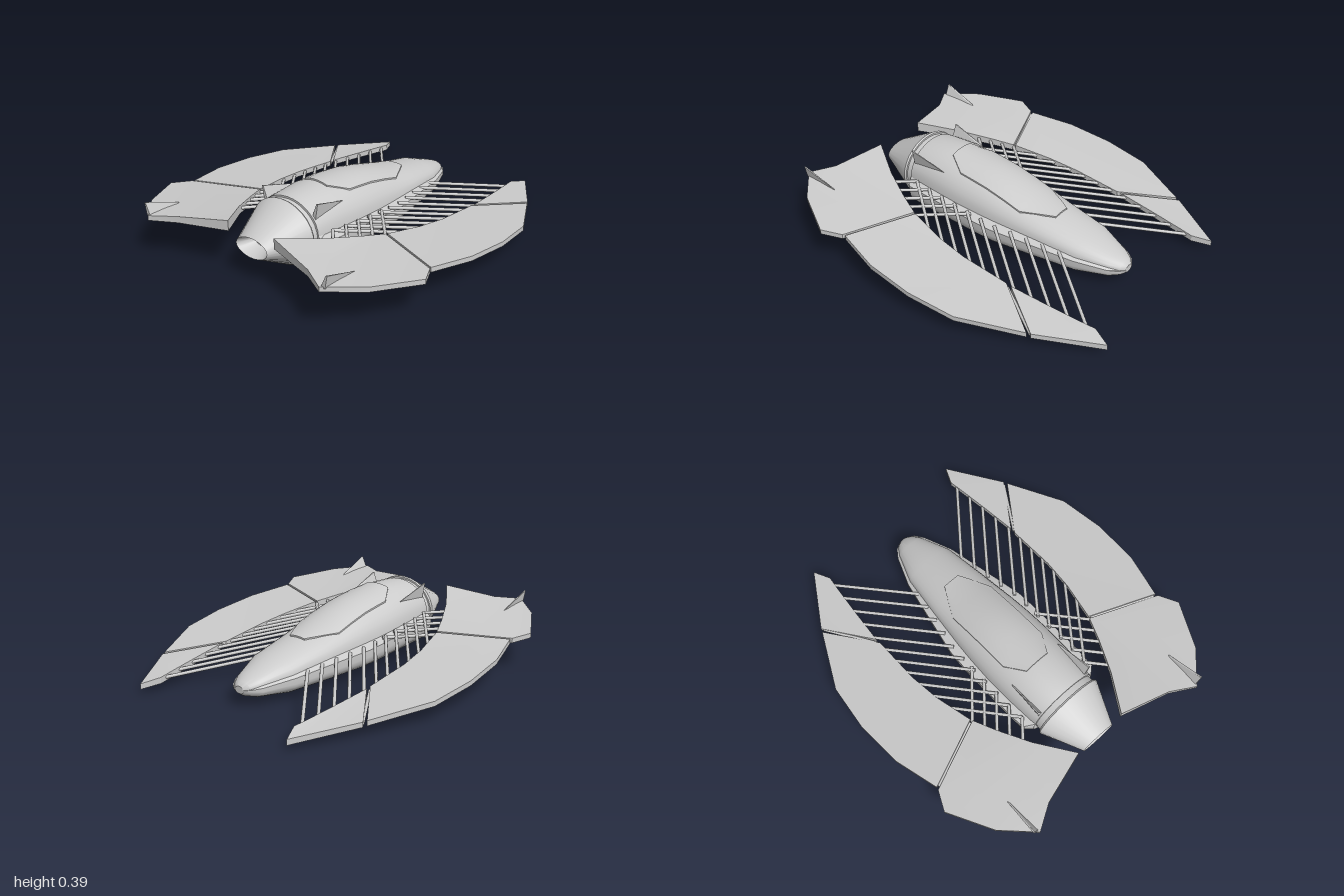
import * as THREE from 'three';
import { toCreasedNormals } from 'three/addons/utils/BufferGeometryUtils.js';
import { ConvexGeometry } from 'three/addons/geometries/ConvexGeometry.js';

const material = new THREE.MeshStandardMaterial({ color: 0xcccccc });
const V = (x, y, z) => new THREE.Vector3(x, y, z);

function add(parent, name, geometry) {
  const mesh = new THREE.Mesh(geometry, material);
  mesh.name = name;
  parent.add(mesh);
  return mesh;
}

// Linear lookup in rows [z, a, b, ...] sorted by z
function lookup(rows, z) {
  let i = 0;
  while (i < rows.length - 2 && z > rows[i + 1][0]) i++;
  const t = THREE.MathUtils.clamp((z - rows[i][0]) / (rows[i + 1][0] - rows[i][0]), 0, 1);
  return rows[i].map((v, k) => THREE.MathUtils.lerp(v, rows[i + 1][k], t));
}

// Skin between closed rings (counter-clockwise seen from +z), capped at both ends
function loft(rings, crease = 0.5) {
  const pos = [];
  const tri = (...p) => p.forEach(v => pos.push(v.x, v.y, v.z));
  const n = rings[0].length;
  const middle = r => r.reduce((s, p) => s.add(p), V(0, 0, 0)).divideScalar(n);
  const first = rings[0], last = rings[rings.length - 1];
  const c0 = middle(first), c1 = middle(last);
  for (let j = 0; j < n; j++) {
    const k = (j + 1) % n;
    for (let i = 0; i < rings.length - 1; i++) {
      const a = rings[i], b = rings[i + 1];
      tri(a[j], b[j], b[k]);
      tri(a[j], b[k], a[k]);
    }
    tri(c0, first[j], first[k]);
    tri(c1, last[k], last[j]);
  }
  const g = new THREE.BufferGeometry();
  g.setAttribute('position', new THREE.Float32BufferAttribute(pos, 3));
  return toCreasedNormals(g, crease);
}

// Hull stations: z, chine half width, upper body half width, top, chine height, bottom
const HULL = [
  [-0.79, 0.03, 0.025, 0.115, 0.095, 0.075],
  [-0.77, 0.065, 0.055, 0.135, 0.098, 0.06],
  [-0.72, 0.1, 0.085, 0.155, 0.1, 0.042],
  [-0.55, 0.165, 0.148, 0.215, 0.112, 0.012],
  [-0.3, 0.215, 0.178, 0.262, 0.128, 0.005],
  [-0.07, 0.26, 0.203, 0.325, 0.143, 0.002],
  [0.05, 0.265, 0.212, 0.352, 0.15, 0],
  [0.2, 0.265, 0.218, 0.37, 0.16, 0],
  [0.36, 0.265, 0.215, 0.385, 0.17, 0],
  [0.515, 0.258, 0.205, 0.375, 0.175, 0],
  [0.555, 0.212, 0.2, 0.37, 0.178, 0.003]
];

function hullRing([z, w, s, top, ch, bot]) {
  const ring = [], N = 16;
  const k = Math.min(1, w / 0.2);
  const shelf = ch + 0.03 * k * (top - ch > 0.04 ? 1 : 0.4), low = ch - 0.025 * k * (ch - bot > 0.04 ? 1 : 0.4);
  ring.push(V(w, ch + 0.018 * k * 0.8, z));
  for (let i = 0; i <= N; i++) {
    const a = Math.PI * i / N;
    ring.push(V(s * Math.cos(a), shelf + (top - shelf) * Math.sin(a), z));
  }
  ring.push(V(-w, ch + 0.018 * k * 0.8, z));
  for (let i = 0; i <= N; i++) {
    const a = Math.PI * (1 + i / N);
    ring.push(V(w * Math.cos(a), low + (low - bot) * Math.sin(a), z));
  }
  return ring;
}

function ovalRing(z, w, bot, top) {
  return Array.from({ length: 28 }, (_, i) => {
    const a = i / 28 * Math.PI * 2;
    return V(w * Math.cos(a), (top + bot) / 2 + (top - bot) / 2 * Math.sin(a), z);
  });
}

// Raised panel that follows the top of the hull
function canopyRing(z, half) {
  const [, , s, top, ch] = lookup(HULL, z);
  const height = x => ch + 0.03 + (top - ch - 0.03) * Math.sqrt(1 - (x / s) ** 2);
  const ring = [V(half, height(half) - 0.02, z)];
  for (let i = 0; i <= 10; i++) {
    const x = half * (1 - i / 5);
    ring.push(V(x, height(x) + 0.008, z));
  }
  ring.push(V(-half, height(half) - 0.02, z));
  return ring;
}

// Wing surface: falls toward the tail, bends up toward the hull, thicker inboard
const wingY = (x, z) => 0.143 + 0.1 * z + 0.11 * Math.max(0, 0.52 - Math.abs(x));
const wingThickness = x => 0.027 + 0.075 * Math.max(0, 0.56 - Math.abs(x));

const PANELS = {
  wingTip: [[0.51, -1], [0.7, -0.685], [0.512, -0.415], [0.495, -0.62], [0.475, -0.82], [0.465, -0.9]],
  wingMiddle: [[0.708, -0.665], [0.865, -0.34], [0.895, -0.07], [0.88, 0.2], [0.812, 0.455],
    [0.44, 0.3], [0.49, 0.08], [0.51, -0.1], [0.51, -0.385]],
  wingFront: [[0.816, 0.47], [0.868, 0.58], [0.735, 0.83], [0.575, 0.99], [0.44, 0.91],
    [0.155, 0.83], [0.29, 0.62], [0.38, 0.44], [0.435, 0.312]]
};
const INNER_EDGE = [[-0.9, 0.465], [-0.62, 0.495], [-0.4, 0.51], [-0.1, 0.51], [0.08, 0.49],
  [0.3, 0.44], [0.44, 0.38], [0.62, 0.29], [0.83, 0.155]];

function wingPanel(outline, side) {
  const shape = new THREE.Shape(outline.map(([x, z]) => new THREE.Vector2(side * x, -z)));
  const g = new THREE.ExtrudeGeometry(shape, { depth: 1, bevelEnabled: false });
  g.rotateX(-Math.PI / 2);
  const p = g.attributes.position;
  for (let i = 0; i < p.count; i++) {
    const x = p.getX(i), z = p.getZ(i);
    p.setY(i, wingY(x, z) + (p.getY(i) - 0.5) * wingThickness(x));
  }
  return toCreasedNormals(g, 0.4);
}

function rod(a, b, radius) {
  const d = b.clone().sub(a);
  const g = new THREE.CylinderGeometry(radius, radius, d.length(), 8);
  g.applyQuaternion(new THREE.Quaternion().setFromUnitVectors(V(0, 1, 0), d.normalize()));
  return g.translate(...a.clone().add(b).multiplyScalar(0.5).toArray());
}

// Strut from the hull to the inner wing edge, slope = change of z per x
function strut(z0, slope, side) {
  const x0 = lookup(HULL, z0)[1] - 0.03;
  let x = x0, z = z0;
  while (x < lookup(INNER_EDGE, z)[1] + 0.012) {
    x += 0.004;
    z += 0.004 * slope;
  }
  return rod(V(side * x0, wingY(x0, z0), z0), V(side * x, wingY(x, z), z), 0.0095);
}

// Blade fin: low point at the tail end, tall and outward-leaning at the front end
function fin(side, x, yFront, yBack, zBack, zFront, height, lean) {
  const p = (dx, y, z) => V(side * (x + dx), y, z);
  return new ConvexGeometry([
    p(0, yBack, zBack), p(-0.013, yFront, zFront), p(0.013, yFront, zFront),
    p(lean - 0.004, yFront + height, zFront), p(lean + 0.004, yFront + height, zFront),
    p(lean * 0.5, yBack + 0.02, zBack + 0.04)
  ]);
}

export function createModel() {
  const model = new THREE.Group();
  model.name = 'spacecraft';

  add(model, 'hull', loft([...HULL].reverse().map(hullRing), 0.45));
  add(model, 'canopyPanel', loft([[0.34, 0.075], [0.23, 0.14], [0.14, 0.14], [0.05, 0.14], [-0.07, 0.14],
    [-0.18, 0.14], [-0.3, 0.08], [-0.355, 0.05]].map(r => canopyRing(...r))));

  // Collar and hollow oval nozzle at the front end
  add(model, 'collar', loft([ovalRing(0.61, 0.195, 0.02, 0.36), ovalRing(0.54, 0.195, 0.02, 0.36)]));
  add(model, 'nozzle', loft([ovalRing(0.74, 0.06, 0.16, 0.22), ovalRing(0.83, 0.105, 0.135, 0.245),
    ovalRing(0.6, 0.21, 0.008, 0.375), ovalRing(0.59, 0.205, 0.012, 0.37)]));

  for (const side of [1, -1]) {
    const wing = new THREE.Group();
    wing.name = side > 0 ? 'leftWing' : 'rightWing';
    model.add(wing);
    for (const name in PANELS) add(wing, name, wingPanel(PANELS[name], side));

    // Hinge bars in the two panel gaps
    for (const [x0, z0, x1, z1] of [[0.52, -0.4, 0.69, -0.675], [0.45, 0.308, 0.8, 0.456]])
      add(wing, 'hinge', rod(V(side * x0, wingY(x0, z0), z0), V(side * x1, wingY(x1, z1), z1), 0.009));

    // Struts raked back, crossed by a second set raked forward
    for (let i = 0; i < 11; i++) add(wing, 'backStrut', strut(-0.45 + i * 0.093, -1.27, side));
    for (let i = 0; i < 5; i++) add(wing, 'frontStrut', strut(0.08 + i * 0.1, 1.15, side));

    add(wing, 'wingFin', fin(side, 0.585, 0.245, 0.225, 0.73, 0.975, 0.07, 0.022));
    add(model, 'hullFin', fin(side, 0.16, 0.285, 0.3, 0.3, 0.545, 0.093, 0.025));
  }
  return model;
}
